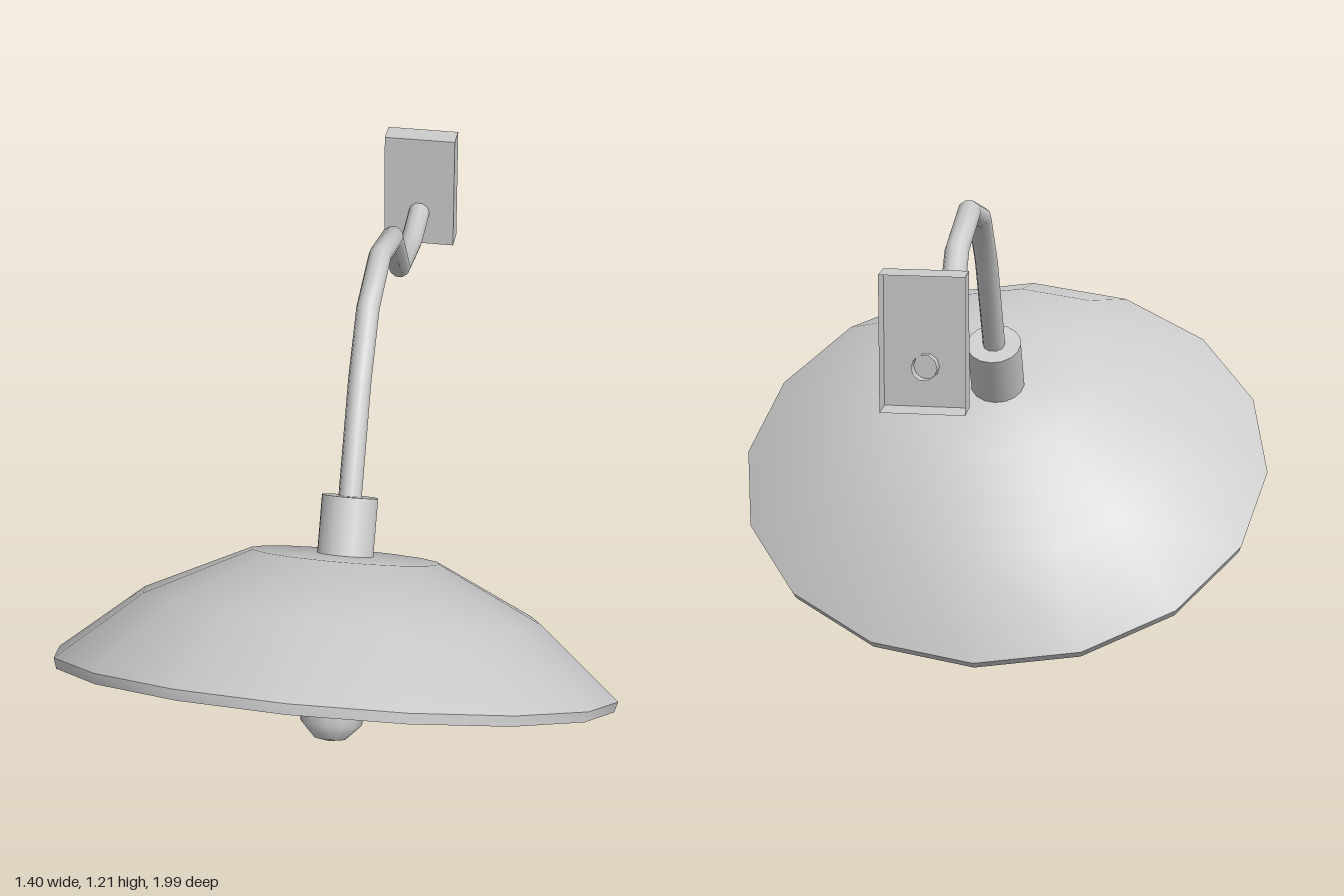
import * as THREE from 'three';
import { toCreasedNormals } from 'three/addons/utils/BufferGeometryUtils.js';

const grey = new THREE.MeshStandardMaterial({ color: 0xcccccc });
const greyOpen = new THREE.MeshStandardMaterial({ color: 0xcccccc, side: THREE.DoubleSide });

function add(parent, name, geometry, material = grey) {
  const mesh = new THREE.Mesh(geometry, material);
  mesh.name = name;
  parent.add(mesh);
  return mesh;
}

function lathe(profile, sides) {
  const points = profile.map(([r, h]) => new THREE.Vector2(r, h));
  return toCreasedNormals(new THREE.LatheGeometry(points, sides), 0.8);
}

// Straight runs between points, with one tube ring mitred at each bend
class BentPath extends THREE.Curve {
  constructor(points) {
    super();
    this.points = points;
  }
  getPoint(t, target = new THREE.Vector3()) {
    const last = this.points.length - 1;
    const i = Math.min(Math.floor(t * last + 1e-6), last - 1);
    return target.lerpVectors(this.points[i], this.points[i + 1], t * last - i);
  }
  getPointAt(u, target) {
    return this.getPoint(u, target);
  }
  getTangentAt(u, target = new THREE.Vector3()) {
    const p = this.points, last = p.length - 1, i = Math.round(u * last);
    target.set(0, 0, 0);
    if (i > 0) target.add(p[i].clone().sub(p[i - 1]).normalize());
    if (i < last) target.add(p[i + 1].clone().sub(p[i]).normalize());
    return target.normalize();
  }
}

export function createModel() {
  const model = new THREE.Group();
  model.name = 'wallLamp';

  // Lamp head: built around its own axis, then tilted forward
  const head = new THREE.Group();
  head.name = 'lampHead';
  head.position.set(0, 0.36, 0.39);
  head.rotation.x = -Math.PI / 6;
  model.add(head);

  // Shade: inner skin down to the rim, outer skin back up
  add(head, 'shade', lathe([
    [0, 0.285], [0.225, 0.282], [0.475, 0.165], [0.683, -0.003],
    [0.692, -0.008], [0.7, 0.018], [0.495, 0.188], [0.235, 0.311], [0, 0.315],
  ], 16));

  // Neck above the shade and socket below it
  add(head, 'neck', new THREE.CylinderGeometry(0.07, 0.07, 0.16, 16)).position.y = 0.378;
  add(head, 'socket', new THREE.CylinderGeometry(0.07, 0.07, 0.09, 16)).position.y = 0.25;

  // Pear-shaped bulb
  add(head, 'bulb', lathe([
    [0, -0.15], [0.04, -0.142], [0.076, -0.105], [0.091, -0.045],
    [0.08, 0.02], [0.053, 0.09], [0.038, 0.15], [0.038, 0.22],
  ], 12));

  // Bent arm, as [z, y] bends from the neck to the wall
  const bends = [
    [0.19, 0.706], [0.02, 1.005], [-0.1, 1.142], [-0.28, 1.193],
    [-0.478, 1.143], [-0.603, 0.992], [-0.8, 0.963], [-0.975, 0.988],
  ].map(([z, y]) => new THREE.Vector3(0, y, z));
  add(model, 'arm', new THREE.TubeGeometry(new BentPath(bends), bends.length - 1, 0.029, 10), greyOpen);

  // Hollow wall plate: a box without its back face
  const plate = new THREE.BoxGeometry(0.19, 0.31, 0.065);
  plate.setIndex(Array.from(plate.index.array).slice(0, 30));
  plate.clearGroups();
  add(model, 'wallPlate', plate, greyOpen).position.set(0, 1.045, -0.9675);

  return model;
}
